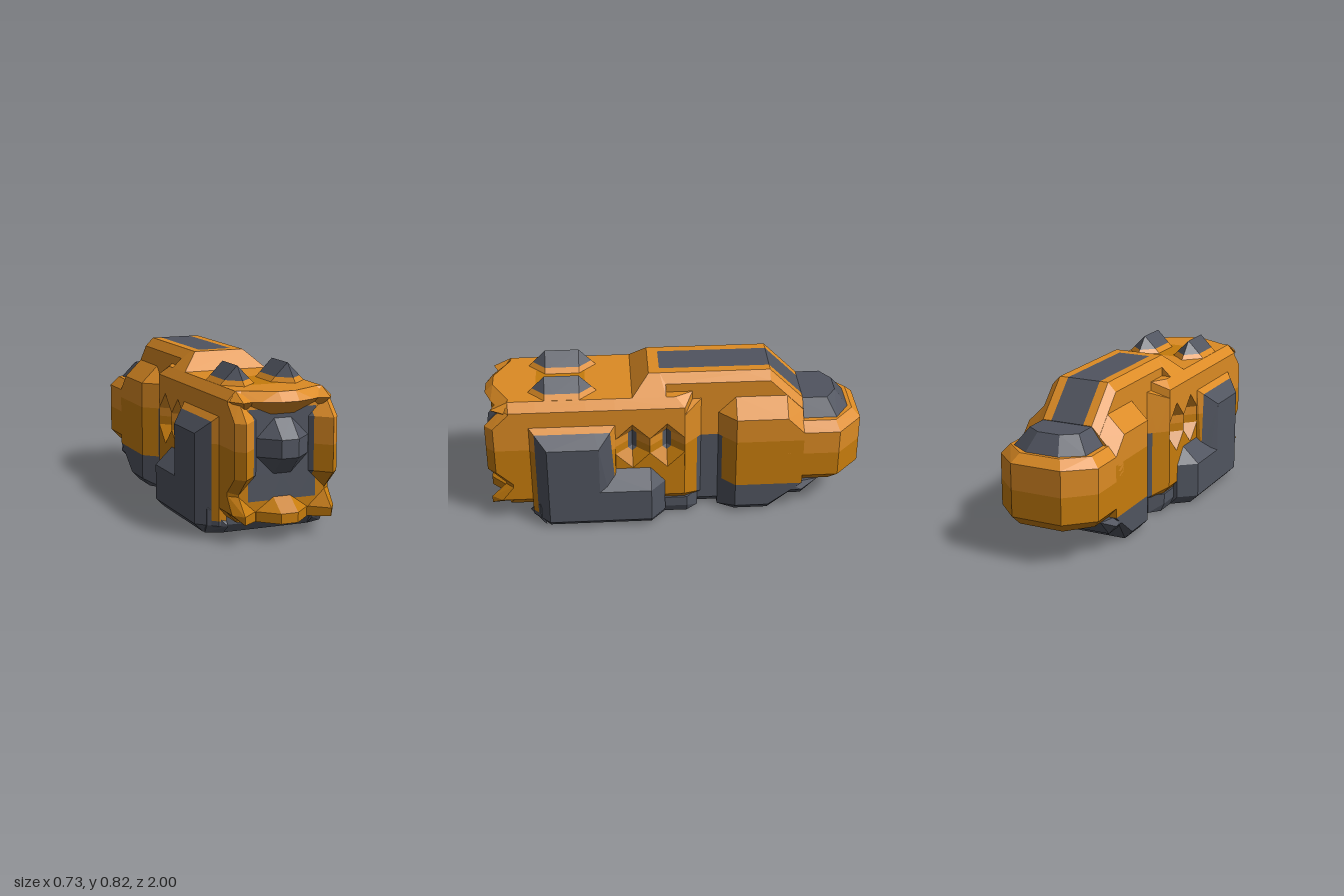
import * as THREE from 'three';
import { ConvexGeometry } from 'three/addons/geometries/ConvexGeometry.js';

const mat = (name, color) => { const m = new THREE.MeshStandardMaterial({ color }); m.name = name; return m; };
const MATS = [mat('light orange', 0xdc8b24), mat('deep orange', 0xc67c0c), mat('slate grey', 0x50545f)];
const LIGHT = 0, DEEP = 1, GREY = 2;
const V = (x, y, z) => new THREE.Vector3(x, y, z);

// Cut triangles along an axis plane so that colour borders stay crisp
function slice(tris, axis, value) {
  const out = [];
  for (const t of tris) {
    const halves = [[], []];
    for (let i = 0; i < 3; i++) {
      const a = t[i], b = t[(i + 1) % 3], da = a[axis] - value, db = b[axis] - value;
      if (da >= -1e-6) halves[0].push(a);
      if (da <= 1e-6) halves[1].push(a);
      if (da * db < 0 && Math.abs(da) > 1e-6 && Math.abs(db) > 1e-6) {
        const p = a.clone().lerp(b, da / (da - db));
        halves[0].push(p); halves[1].push(p);
      }
    }
    for (const h of halves) for (let i = 1; i + 1 < h.length; i++) {
      const n = h[i].clone().sub(h[0]).cross(h[i + 1].clone().sub(h[0]));
      if (n.length() > 1e-9) out.push([h[0], h[i], h[i + 1]]);
    }
  }
  return out;
}

// Flat shaded mesh whose triangles take a colour by a rule on their centre
function paint(name, tris, cuts, rule) {
  for (const [axis, ...values] of cuts) for (const v of values) {
    tris = slice(tris, axis, v);
    if (axis === 'x') tris = slice(tris, axis, -v);
  }
  const bins = [[], [], []];
  for (const t of tris) {
    const c = t[0].clone().add(t[1]).add(t[2]).divideScalar(3);
    bins[rule(Math.abs(c.x), c.y, c.z)].push(...t);
  }
  const g = new THREE.BufferGeometry().setFromPoints(bins.flat());
  let start = 0;
  bins.forEach((b, i) => { if (b.length) g.addGroup(start, b.length, i); start += b.length; });
  g.computeVertexNormals();
  const mesh = new THREE.Mesh(g, MATS);
  mesh.name = name;
  return mesh;
}

function toTris(geometry) {
  const p = geometry.getAttribute('position'), tris = [];
  const at = i => new THREE.Vector3().fromBufferAttribute(p, i);
  for (let i = 0; i < p.count; i += 3) tris.push([at(i), at(i + 1), at(i + 2)]);
  return tris;
}

// Each spec is [x, y, z]; an array in any slot expands to all its values
function expand(specs, signs) {
  const pts = [], list = v => [].concat(v);
  for (const [xs, ys, zs] of specs) for (const s of signs)
    for (const x of list(xs)) for (const y of list(ys)) for (const z of list(zs)) pts.push(V(s * x, y, z));
  return pts;
}

export function createModel() {
  const model = new THREE.Group();
  model.name = 'armouredVehicle';
  const twoTone = (x, y) => (y > 0.455 ? LIGHT : DEEP);
  const tone = [['y', 0.455]];
  const whole = (name, specs, cuts = tone, rule = twoTone) =>
    model.add(paint(name, toTris(new ConvexGeometry(expand(specs, [1, -1]))), cuts, rule));
  const pair = (name, specs, cuts = tone, rule = twoTone) => {
    for (const s of [1, -1])
      model.add(paint((s > 0 ? 'left' : 'right') + name, toTris(new ConvexGeometry(expand(specs, [s]))), cuts, rule));
  };
  const grey = () => GREY;

  // Central spine with the roof stripe
  whole('spine', [
    [0.137, 0.82, [0.08, -0.5]], [0.18, 0.775, [0.05, -0.5]],
    [0.137, 0.64, -0.68], [0.18, 0.595, -0.68],
    [0.18, 0.045, [0.05, -0.5]], [0.14, 0, [0.05, -0.5]], [0.18, 0.14, -0.68],
  ], [['x', 0.09], ['y', 0.455, 0.81], ['z', 0.08]],
  (x, y, z) => ((x < 0.09 && y > 0.6) || y < 0.455 ? GREY : LIGHT));
  whole('spineFront', [
    [0.137, 0.82, [0.08, 0.137]], [0.18, 0.775, 0.05], [0.23, 0.728, [0.05, 0.227]], [0.137, 0.7, 0.05],
  ], [['y', 0.455]], twoTone);

  // Cab: solid nose block, then rails around the side dents
  whole('cab', [
    [0.272, [0.14, 0.683], [0.32, 0.87]], [0.23, 0.728, [0.32, 0.87]],
    [0.23, 0.09, [0.32, 0.89]], [0.23, [0.14, 0.683], 0.91],
  ], [['x', 0.08, 0.16, 0.18], ['y', 0.19, 0.32, 0.455, 0.6, 0.64], ['z', 0.47, 0.73, 0.9]],
  (x, y, z) => {
    if (z > 0.9 && y > 0.19 && y < 0.64 && x < (y < 0.32 || y > 0.6 ? 0.18 : 0.16)) return GREY;
    if (y > 0.72 && x < 0.08 && z > 0.47 && z < 0.73) return DEEP;
    return twoTone(x, y);
  });
  whole('cabRoofRail', [
    [0.272, [0.59, 0.683], [-0.045, 0.33]], [0.23, 0.728, [-0.0, 0.33]], [0.18, [0.59, 0.728], -0.09],
  ]);
  whole('cabSill', [[0.272, [0.14, 0.32], [-0.045, 0.33]], [0.23, 0.09, [-0.045, 0.33]]]);
  pair('RearCheek', [
    [0.272, [0.14, 0.637], -0.045], [0.18, [0.09, 0.683], -0.137], [0.17, [0.09, 0.683], -0.045], [0.23, 0.09, -0.045],
  ], [['y', 0.455], ['z', -0.115]], (x, y, z) => (y < 0.455 && z < -0.115 ? GREY : twoTone(x, y)));

  // Pointed side dents with dark slots at their bottoms
  for (const s of [1, -1]) for (const zc of [0.23, 0.047]) {
    const P = (dx, y, dz) => V(s * dx, y, zc + dz);
    const X = 0.272, D = 0.186, w = 0.0915;
    const tris = [], face = (...p) => {
      for (let i = 1; i + 1 < p.length; i++) tris.push(s > 0 ? [p[0], p[i], p[i + 1]] : [p[0], p[i + 1], p[i]]);
    };
    const hi = P(D, 0.5, 0), lo = P(D, 0.41, 0), top = P(X, 0.59, 0), bottom = P(X, 0.32, 0);
    const f1 = P(X, 0.5, w), f0 = P(X, 0.41, w), b1 = P(X, 0.5, -w), b0 = P(X, 0.41, -w);
    face(f0, lo, hi, f1); face(b1, hi, lo, b0);
    face(f1, hi, top); face(top, hi, b1); face(bottom, lo, f0); face(b0, lo, bottom);
    face(f1, top, P(X, 0.59, w)); face(top, b1, P(X, 0.59, -w));
    face(f0, P(X, 0.32, w), bottom); face(b0, bottom, P(X, 0.32, -w));
    model.add(paint('sideDent', tris, [['x', 0.207], ['y', 0.455]], (x, y) => (x < 0.207 ? GREY : twoTone(x, y))));
  }

  // Face: side posts, brow, lip and faceted snout
  pair('FacePost', [
    [0.23, [0.32, 0.59], 1], [0.272, [0.32, 0.59], 0.955], [0.14, [0.32, 0.59], 0.91],
    [0.23, [0.23, 0.683], 0.91], [0.272, [0.23, 0.683], 0.86], [0.16, [0.32, 0.59], 0.86],
  ], [['x', 0.16], ['y', 0.455]], (x, y) => (x < 0.16 ? GREY : twoTone(x, y)));
  whole('brow', [
    [0.045, 0.683, 1], [0.137, 0.683, 0.965], [0.06, 0.612, 0.91], [0.137, 0.66, 0.91],
    [0.23, 0.683, 0.91], [0.2, 0.728, 0.87], [0.045, 0.728, 0.955],
  ]);
  pair('BrowCorner', [
    [0.23, 0.683, 0.965], [0.15, 0.683, 0.93], [0.23, 0.728, 0.87], [0.272, 0.683, 0.89], [0.2, 0.63, 0.9],
  ]);
  whole('lowerLip', [
    [0.045, [0.09, 0.14], 1], [0.137, [0.09, 0.14], 0.91], [0.045, 0.205, 0.91], [0.137, [0.1, 0.14], 0.86],
  ]);
  pair('LipCorner', [
    [0.23, [0.1, 0.14], 0.99], [0.137, [0.09, 0.14], 0.905], [0.272, 0.14, 0.93], [0.23, 0.23, 0.9], [0.272, [0.14, 0.23], 0.86],
  ]);
  whole('snout', [
    [0.045, [0.41, 0.5], 1], [0.137, [0.41, 0.5], 0.91], [0.045, [0.32, 0.592], 0.91], [0.045, 0.455, 0.88],
  ], [], grey);

  // Roof lamps
  pair('RoofLamp', [[0.137, 0.82, [0.5, 0.68]], [[0.045, 0.228], 0.728, [0.5, 0.68]], [0.137, 0.728, [0.41, 0.77]]],
    [['y', 0.752]], (x, y) => (y > 0.752 ? GREY : LIGHT));

  // Skirts: tall front part and low rear step, orange along the inner edge
  const skirtCuts = [['x', 0.3], ['y', 0.07, 0.455]];
  const skirtRule = (x, y) => (x < 0.3 && y > 0.07 ? twoTone(x, y) : GREY);
  pair('Skirt', [
    [0.363, [0.045, 0.5], [0.41, 0.68]], [0.272, [0.045, 0.592], [0.32, 0.77]],
    [0.318, 0, [0.33, 0.68]], [0.23, 0, [0.33, 0.73]], [0.23, [0.045, 0.5], 0.77],
  ], skirtCuts, skirtRule);
  pair('SkirtStep', [
    [0.363, [0.045, 0.23], [0.137, 0.45]], [0.272, [0.045, 0.23], 0.06], [0.272, 0.318, [0.137, 0.45]],
    [0.318, 0, [0.137, 0.45]], [0.23, 0, [0.06, 0.45]],
  ], [], grey);
  pair('SkirtFoot', [[0.23, 0.045, 0.79], [0.318, [0.045, 0.137], 0.73], [0.23, 0.1, 0.74], [0.318, 0, 0.7], [0.23, 0, 0.73]], [], grey);
  whole('bellyPlate', [[0.23, 0, [-0.06, 0.73]], [0.25, [0.045, 0.1], [-0.06, 0.76]], [0.18, [0, 0.1], -0.12]], [], grey);

  // Rear block with grey lower half
  whole('rearBlock', [
    [0.272, 0.592, [-0.32, -0.59]], [0.272, 0.5, -0.68], [0.18, 0.683, [-0.32, -0.59]], [0.18, 0.592, [-0.23, -0.68]],
    [0.272, 0.045, [-0.32, -0.5]], [0.23, 0, [-0.32, -0.5]], [0.18, 0, -0.23], [0.272, 0.18, -0.68],
  ], [['y', 0.18, 0.455], ['z', -0.25]],
  (x, y, z) => (y < 0.18 || (z > -0.25 && y < 0.455) ? GREY : twoTone(x, y)));
  whole('rearBelly', [
    [0.23, 0.09, [-0.5, -0.68]], [0.272, 0.137, [-0.5, -0.68]], [0.272, 0.18, -0.6], [0.23, 0.18, -0.77],
  ], [], grey);

  // Tail and its dark deck
  whole('tail', [
    [0.272, [0.23, 0.5], [-0.6, -0.87]], [0.137, [0.23, 0.505], -1], [0.23, 0.182, [-0.6, -0.83]], [0.12, 0.182, -0.955],
    [0.227, 0.55, [-0.6, -0.85]], [0.11, 0.55, -0.955],
  ], [['y', 0.37]], (x, y) => (y > 0.37 ? LIGHT : DEEP));
  whole('tailDeck', [
    [0.2, 0.55, [-0.63, -0.86]], [0.09, 0.55, -0.935], [0.137, 0.638, [-0.63, -0.81]], [0.06, 0.638, -0.865],
  ], [], grey);

  return model;
}
